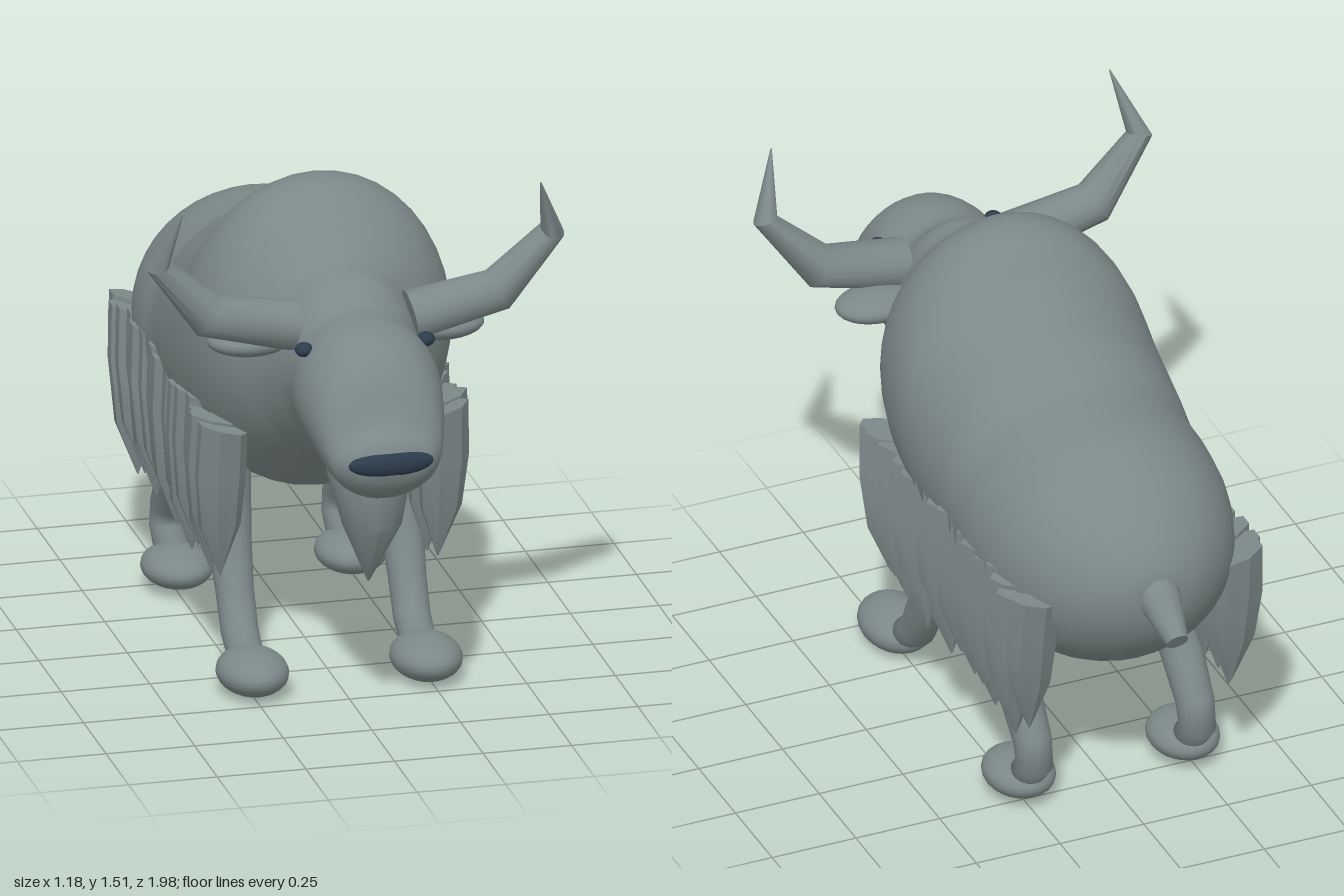
import * as THREE from 'three';
import { toCreasedNormals } from 'three/addons/utils/BufferGeometryUtils.js';

// Skin elliptical rings [x, y, z, ra, rb]; ra lies along `ref`. A fixed axis keeps the rings parallel.
function loft(rings, ref, sides, axis, crease) {
  const pos = [], idx = [], n = rings.length;
  const at = i => new THREE.Vector3(...rings[Math.min(n - 1, Math.max(0, i))].slice(0, 3));
  rings.forEach((r, i) => {
    const d = axis ? axis.clone() : at(i + 1).sub(at(i)).normalize().add(at(i).sub(at(i - 1)).normalize()).normalize();
    const u = ref.clone().addScaledVector(d, -ref.dot(d)).normalize();
    const v = d.clone().cross(u);
    for (let k = 0; k < sides; k++) {
      const a = k / sides * Math.PI * 2;
      const p = at(i).addScaledVector(u, Math.cos(a) * r[3]).addScaledVector(v, Math.sin(a) * r[4]);
      pos.push(p.x, p.y, p.z);
    }
  });
  const first = n * sides, last = first + 1, top = (n - 1) * sides;
  pos.push(...at(0).toArray(), ...at(n - 1).toArray());
  for (let k = 0; k < sides; k++) {
    const m = (k + 1) % sides;
    for (let i = 0; i < n - 1; i++) {
      const a = i * sides + k, b = i * sides + m;
      idx.push(a, b, a + sides, b, b + sides, a + sides);
    }
    idx.push(first, m, k, last, top + k, top + m);
  }
  const g = new THREE.BufferGeometry();
  g.setAttribute('position', new THREE.Float32BufferAttribute(pos, 3));
  g.setIndex(idx);
  g.computeVertexNormals();
  return crease ? toCreasedNormals(g, crease) : g;
}

export function createModel() {
  const model = new THREE.Group();
  model.name = 'shaggyOx';
  const hide = new THREE.MeshStandardMaterial({ color: 0x7c8888 });
  hide.name = 'greyHide';
  const dark = new THREE.MeshStandardMaterial({ color: 0x2c3c4c });
  dark.name = 'darkSlate';
  const X = new THREE.Vector3(1, 0, 0), Z = new THREE.Vector3(0, 0, 1), DOWN = new THREE.Vector3(0, -1, 0);

  const add = (name, geo, mat = hide) => {
    const mesh = new THREE.Mesh(geo, mat);
    mesh.name = name;
    model.add(mesh);
    return mesh;
  };
  const blob = (name, p, r, mat) => {
    const mesh = add(name, new THREE.SphereGeometry(1, 24, 16), mat);
    mesh.position.set(...p);
    mesh.scale.set(...r);
    return mesh;
  };

  // Body, hump, neck and head: [z, top, bottom, half width]
  const sections = [
    [-0.872, 0.82, 0.78, 0.02], [-0.855, 0.89, 0.69, 0.11], [-0.8, 0.97, 0.6, 0.2], [-0.7, 1.055, 0.51, 0.29],
    [-0.55, 1.125, 0.44, 0.35], [-0.4, 1.145, 0.42, 0.372], [-0.3, 1.165, 0.43, 0.368], [-0.2, 1.23, 0.45, 0.37],
    [-0.1, 1.265, 0.46, 0.378], [0, 1.315, 0.47, 0.382], [0.08, 1.39, 0.48, 0.38], [0.17, 1.415, 0.51, 0.37],
    [0.26, 1.39, 0.57, 0.345], [0.34, 1.32, 0.63, 0.3], [0.42, 1.255, 0.675, 0.24], [0.51, 1.235, 0.7, 0.205],
    [0.59, 1.18, 0.755, 0.195], [0.7, 1.175, 0.77, 0.203], [0.8, 1.145, 0.74, 0.19], [0.87, 1.07, 0.727, 0.172],
    [0.92, 0.965, 0.745, 0.15], [0.96, 0.925, 0.785, 0.115], [0.98, 0.88, 0.83, 0.04],
  ];
  const outline = new THREE.CatmullRomCurve3(sections.map(s => new THREE.Vector3(s[0], s[1], s[2])), false, 'catmullrom');
  const widths = new THREE.CatmullRomCurve3(sections.map(s => new THREE.Vector3(s[3], 0, 0)), false, 'catmullrom');
  const bodyRings = [];
  for (let i = 0; i <= 88; i++) {
    const p = outline.getPoint(i / 88), w = widths.getPoint(i / 88).x;
    bodyRings.push([0, (p.y + p.z) / 2, p.x, w, (p.y - p.z) / 2]);
  }
  add('bodyAndHead', loft(bodyRings, X, 40, Z));

  // Nose, beard and tail
  blob('nose', [0, 0.858, 0.962], [0.12, 0.038, 0.028], dark);
  add('beard', loft([
    [0, 0.82, 0.7, 0.12, 0.12], [0, 0.75, 0.715, 0.118, 0.118], [0, 0.61, 0.745, 0.083, 0.09], [0, 0.425, 0.71, 0.003, 0.003],
  ], X, 16, DOWN, 0.7));
  add('tail', loft([[0, 0.82, -0.8, 0.07, 0.07], [0, 0.785, -0.87, 0.058, 0.058], [0, 0.72, -0.978, 0.032, 0.032]], X, 14, null, 0.7));

  for (const s of [1, -1]) {
    const side = s > 0 ? 'left' : 'right';
    const sided = rings => rings.map(([x, ...rest]) => [x * s, ...rest]);

    // Eyes, ears and horns
    blob(side + 'Eye', [s * 0.172, 1.1, 0.67], [0.025, 0.02, 0.025], dark);
    blob(side + 'Ear', [s * 0.27, 1.062, 0.455], [0.12, 0.043, 0.085]);
    add(side + 'Horn', loft(sided([
      [0.165, 1.12, 0.53, 0.077, 0.07], [0.41, 1.172, 0.53, 0.062, 0.063],
      [0.558, 1.342, 0.556, 0.045, 0.034], [0.505, 1.513, 0.637, 0.002, 0.002],
    ]), Z, 14, null, 0.6));

    // Front leg and foot
    add(side + 'FrontLeg', loft(sided([
      [0.25, 0.66, 0.02, 0.09, 0.11], [0.245, 0.5, 0.07, 0.075, 0.075], [0.243, 0.36, 0.12, 0.062, 0.058],
      [0.243, 0.23, 0.18, 0.053, 0.055], [0.243, 0.13, 0.235, 0.052, 0.052], [0.243, 0.075, 0.31, 0.05, 0.045],
    ]), X, 18));
    blob(side + 'FrontFoot', [s * 0.245, 0.066, 0.385], [0.099, 0.064, 0.132]).rotation.x = -0.03;

    // Hind leg and foot
    add(side + 'HindLeg', loft(sided([
      [0.25, 0.62, -0.32, 0.1, 0.12], [0.247, 0.42, -0.4, 0.075, 0.075], [0.243, 0.31, -0.47, 0.058, 0.06],
      [0.243, 0.22, -0.545, 0.053, 0.054], [0.243, 0.15, -0.56, 0.052, 0.05], [0.243, 0.085, -0.5, 0.05, 0.05],
    ]), X, 18));
    blob(side + 'HindFoot', [s * 0.245, 0.07, -0.455], [0.099, 0.057, 0.122]);

    // Fringe of pointed locks along the flank
    const count = 18;
    for (let i = 0; i < count; i++) {
      const t = i / (count - 1), wave = Math.sin(i * 2.3);
      const z = 0.315 - t * 1.015, x = 0.312 + 0.012 * Math.sin(i * 1.7);
      const y = 0.755 + 0.03 * Math.sin(t * Math.PI * 0.9) + 0.008 * wave;
      const lean = (0.5 - t) * -0.09;
      const tip = 0.31 + 0.025 * wave;
      const lock = loft(sided([
        [x, y, z, 0.07, 0.046], [x + 0.002, y - 0.14, z + lean * 0.3, 0.074, 0.042],
        [x, tip + 0.15, z + lean * 0.7, 0.06, 0.038], [x - 0.005, tip, z + lean, 0.002, 0.002],
      ]), X, 7, DOWN, 0.5);
      // Slope each lock top down toward the flank
      const p = lock.attributes.position;
      for (let k = 0; k < p.count; k++) {
        if (p.getY(k) > y - 0.01) p.setY(k, y + (Math.abs(p.getX(k)) - x) * 0.3);
      }
      add(side + 'FringeLock' + (i + 1), lock);
    }
  }
  return model;
}
